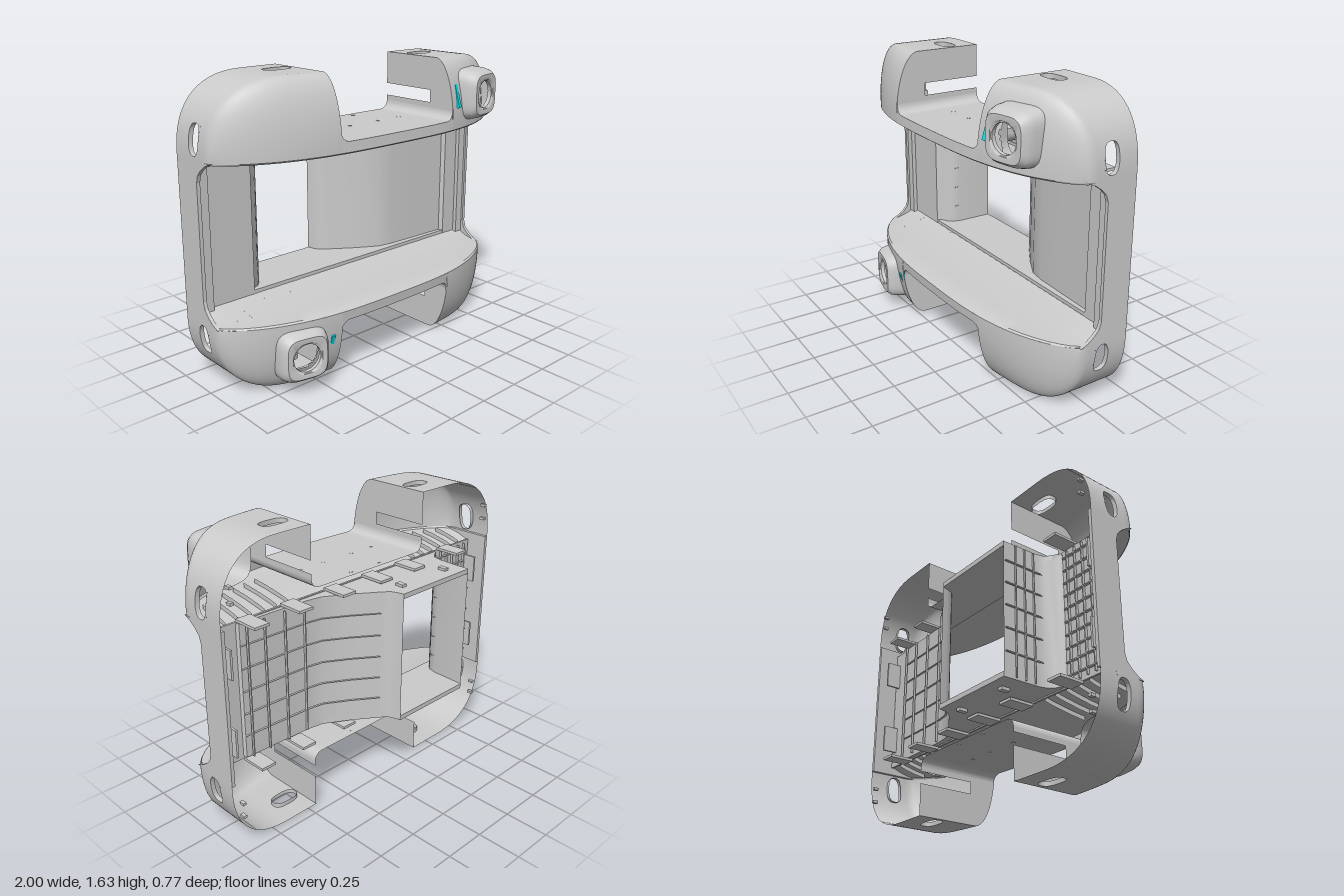
import * as THREE from 'three';
import { toCreasedNormals } from 'three/addons/utils/BufferGeometryUtils.js';

const H = 1.635, BACK = -0.19, LIP = 1.245;
const grey = new THREE.MeshStandardMaterial({ color: 0xcccccc, side: THREE.DoubleSide });
const cyan = new THREE.MeshStandardMaterial({ color: 0x00e5ee });

const lerp = THREE.MathUtils.lerp;
const range = (n, a = 0, b = 1) => Array.from({ length: n + 1 }, (_, i) => lerp(a, b, i / n));
const sorted = (list) => [...new Set(list)].sort((a, b) => a - b);
const keys = (list) => list.map((_, i) => i);

function add(parent, name, geometry, x = 0, y = 0, z = 0, material = grey) {
  const mesh = new THREE.Mesh(geometry, material);
  mesh.name = name;
  mesh.position.set(x, y, z);
  parent.add(mesh);
  return mesh;
}
const box = (parent, name, w, h, d, x, y, z, material) =>
  add(parent, name, new THREE.BoxGeometry(w, h, d), x, y, z, material);

// Grid surface through fn(u, v) -> [x, y, z]; skip(um, vm) leaves a cell open
function surface(us, vs, fn, skip = () => false) {
  const pos = [], index = [], n = vs.length;
  for (const u of us) for (const v of vs) pos.push(...fn(u, v));
  for (let i = 0; i < us.length - 1; i++) for (let j = 0; j < n - 1; j++) {
    if (skip((us[i] + us[i + 1]) / 2, (vs[j] + vs[j + 1]) / 2)) continue;
    const a = i * n + j, b = a + n;
    index.push(a, b, b + 1, a, b + 1, a + 1);
  }
  const g = new THREE.BufferGeometry();
  g.setAttribute('position', new THREE.Float32BufferAttribute(pos, 3));
  g.setIndex(index);
  return toCreasedNormals(g, 0.65);
}

const polygon = (pts) => new THREE.Shape(pts.map(([x, y]) => new THREE.Vector2(x, y)));
const extrude = (shape, depth) => new THREE.ExtrudeGeometry(shape, { depth, bevelEnabled: false });
const pw = (t, e) => Math.sign(t) * Math.pow(Math.abs(t), e);

// Depth of the front lip in plan
const lipZ = (x) => 0.1 + 0.26 * Math.pow(Math.max(0, 1 - Math.pow(Math.min(Math.abs(x) / 0.985, 1), 3)), 0.8);

// Corner pad skin: u runs along the outline from notch to side, v from back edge to lip
function padPoint(xi, u, v) {
  const xc = xi + 0.2, th = Math.max(0, 1 - (u - 0.4) / 0.6) * Math.PI / 2;
  const ox = u <= 0.4 ? lerp(xi, xc, u / 0.4) : xc + (1 - xc) * pw(Math.cos(th), 0.8);
  const oy = u <= 0.4 ? H : 1.24 + (H - 1.24) * pw(Math.sin(th), 0.8);
  const inset = 0.015 * (ox - xi) / (1 - xi);
  const zl = lipZ(ox - inset), zw = 0.045 + (zl - 0.1) * 0.62;
  if (v <= 0.3) return [ox, oy, lerp(BACK, 0.04, v / 0.3)];
  if (v <= 0.5) return [ox, oy, lerp(0.04, zw, (v - 0.3) / 0.2)];
  const s = (v - 0.5) * Math.PI, a = 1 - Math.cos(s);
  return [ox - inset * a, lerp(oy, LIP, a), lerp(zw, zl, Math.sin(s))];
}

// Raised square boss that tapers to a round opening: [half size, z, exponent]
function bossGeometry() {
  const rings = [[0.15, -0.19, 0.5], [0.143, -0.07, 0.5], [0.132, -0.025, 0.5], [0.113, 0, 0.5],
    [0.085, 0, 0.8], [0.083, -0.006, 1], [0.077, -0.008, 1], [0.077, -0.03, 1]];
  return surface(range(48, 0, Math.PI * 2), keys(rings), (t, i) => {
    const [r, z, e] = rings[i];
    return [r * pw(Math.cos(t), e), r * pw(Math.sin(t), e), z];
  });
}

function createPad(xi, hasBoss) {
  const pad = new THREE.Group();
  pad.name = 'cornerPad';
  // Oval openings in the top wall and side wall: [u, v, half u, half v, inward direction]
  const holes = [[0.21, 0.2, 0.17, 0.06, [0, -1]], [0.921, 0.2, 0.072, 0.06, [-1, 0]]];
  const us = sorted([...range(40), ...holes.flatMap(([u, , h]) => [u - h, u + h])]);
  const vs = sorted([...range(10, 0, 0.5), ...range(22, 0.5, 1), 0.14, 0.26]);
  const bx = xi + 0.25, by = 1.422;
  const point = (u, v) => padPoint(xi, u, v);
  add(pad, 'padSkin', surface(us, vs, point, (u, v) => {
    const [x, y] = point(u, v);
    return holes.some(([cu, cv, hu, hv]) => Math.abs(u - cu) < hu && Math.abs(v - cv) < hv) ||
      (hasBoss && v > 0.5 && Math.hypot(x - bx, y - by) < 0.11);
  }));
  for (const [cu, cv, hu, hv, dir] of holes) {
    add(pad, 'ovalOpening', surface(range(48, 0, Math.PI * 2), [0, 1, 2], (t, k) => {
      const c = Math.cos(t), s = Math.sin(t), m = Math.max(Math.abs(c), Math.abs(s));
      const du = k ? 0.95 * pw(c, 0.7) : c / m, dv = k ? 0.92 * pw(s, 0.7) : s / m;
      const p = point(cu + hu * du, cv + hv * dv), d = k === 2 ? 0.025 : 0;
      return [p[0] + dir[0] * d, p[1] + dir[1] * d, p[2]];
    }));
  }
  // Notch wall with a slot open to the back
  const section = range(40).map((v) => point(0, v)).filter((p) => p[1] > 1.35).map((p) => [p[2], p[1]]);
  const wall = polygon([[BACK, 1.35], [BACK, 1.38], [0.16, 1.38], [0.16, 1.45], [BACK, 1.45],
    ...section, [lipZ(xi) - 0.008, 1.35]]);
  add(pad, 'notchWall', new THREE.ShapeGeometry(wall).rotateY(-Math.PI / 2), xi);
  if (hasBoss) {
    add(pad, 'boss', bossGeometry(), bx, by, 0.362).rotation.y = 0.2;
    box(pad, 'lightStrip', 0.022, 0.135, 0.03, xi + 0.055, 1.425, 0.308, cyan).rotation.set(-0.3, 0.15, 0);
  }
  // Small locating pins on the back edge
  for (const y of [1.37, 1.45]) box(pad, 'pin', 0.02, 0.015, 0.03, 0.94, y, BACK);
  return pad;
}

// Upper half of the shell; the lower half is its mirror with the boss on the other side
function createHalf(bossLeft) {
  const half = new THREE.Group();
  half.name = 'shellHalf';
  const [xl, xr] = [0.44, 0.385];
  half.add(createPad(xl, bossLeft));
  const other = createPad(xr, !bossLeft);
  other.scale.x = -1;
  half.add(other);

  // Bridge between the pads, filleted into the notch walls
  const r = 0.05, stops = [];
  for (const a of range(6, 0, Math.PI / 2)) {
    const d = r * (1 - Math.cos(a)), y = 1.3 + r * (1 - Math.sin(a));
    stops.push([d - xr, y], [xl - d, y]);
  }
  for (const x of range(10, -0.3, 0.35)) stops.push([x, 1.3]);
  stops.sort((a, b) => a[0] - b[0]);
  add(half, 'bridge', surface(keys(stops), [0, 1, 2], (i, k) => {
    const [x, y] = stops[i], z = lipZ(x);
    return [x, k === 2 ? LIP : y, k === 0 ? BACK : k === 1 ? z - 0.08 * (y - LIP) : z];
  }));
  for (const [x, z] of [[-0.24, 0.06], [-0.08, 0.06], [0.13, 0.06], [0.29, 0.06], [-0.08, -0.15], [0.13, -0.15]])
    add(half, 'screwSeat', new THREE.CylinderGeometry(0.011, 0.011, 0.003, 16), x, 1.3, z);

  // Curved underside sweeping back to the recessed panel: [depth fraction, y]
  const under = [[1, LIP], [0.97, 1.236], [0.7, 1.232], [0.45, 1.222], [0.25, 1.21], [0.1, 1.2], [0, 1.19]];
  const underZ = (x, i) => lerp(-0.06, lipZ(x), under[i][0]);
  add(half, 'recessEdge', surface(range(60, -0.985, 0.985), keys(under), (x, i) => [x, under[i][1], underZ(x, i)]));

  // Stiffening ribs behind the recess edge, mounting tabs and clips
  for (const s of [1, -1]) for (const x of range(5, 0.48, 0.88))
    add(half, 'edgeRib', surface([2, 3, 4, 5, 6], [0, 0.025], (i, d) => [s * x, under[i][1] + d, underZ(x, i)]));
  for (const x of [-0.72, -0.35, -0.08, 0.2, 0.5, 0.78])
    box(half, 'mountingTab', 0.09, 0.015, 0.15, x, 1.212, -0.14);
  for (const x of [-0.45, -0.1]) box(half, 'pocketClip', 0.03, 0.02, 0.05, x, 1.205, -0.3);
  return half;
}

function createPanel() {
  const panel = new THREE.Group();
  panel.name = 'centrePanel';
  const y0 = 0.445, y1 = 1.19, mid = H / 2;
  const rect = (a, b, c, d) => [[a, b], [c, b], [c, d], [a, d]];
  const frame = polygon(rect(-0.97, 0.43, 0.97, 1.205));
  frame.holes.push(polygon(rect(-0.66, y0, 0.83, y1)));
  add(panel, 'panelFrame', extrude(frame, 0.012), 0, 0, -0.07);

  // Pocket sides in plan: [x, z]
  const left = [[-0.66, -0.06], [-0.645, -0.085], [-0.61, -0.1], [-0.58, -0.13], [-0.567, -0.18], [-0.562, -0.39]];
  const right = [[0.83, -0.06], [0.82, -0.085], [0.6, -0.092], [0.4, -0.1], [0.31, -0.115], [0.18, -0.19],
    [0.04, -0.285], [0, -0.315], [-0.015, -0.35], [-0.025, -0.39]];
  add(panel, 'pocketWall', surface(keys(left), [y0, y1], (i, y) => [left[i][0], y, left[i][1]]));
  add(panel, 'slopedPanel', surface(keys(right), [y0, y1], (i, y) => [right[i][0], y, right[i][1]]));
  const plan = polygon([...left, ...[...right].reverse()]);
  for (const y of [1.2, 0.465])
    add(panel, 'pocketShelf', extrude(plan, 0.028).rotateX(Math.PI / 2), 0, y);

  // Rib grid on the back of the panels
  for (const y of range(4, 0.57, 1.08)) {
    add(panel, 'crossRib', surface(keys(right).slice(1, 7), [0, 0.012],
      (i, d) => [right[i][0] + d * 0.4, y, right[i][1] - d]));
    box(panel, 'wallRib', 0.01, 0.006, 0.24, -0.574, y, -0.265);
  }
  for (const x of [0.42, 0.55, 0.68, 0.79]) box(panel, 'uprightRib', 0.006, y1 - y0, 0.014, x, mid, -0.108);
  for (const z of [-0.2, -0.26, -0.32]) box(panel, 'wallUpright', 0.01, y1 - y0, 0.006, -0.574, mid, z);
  for (const y of range(9, 0.48, 1.155)) box(panel, 'endRib', 0.26, 0.006, 0.016, -0.8, y, -0.077);
  for (const x of range(4, -0.92, -0.7)) box(panel, 'endUpright', 0.006, y1 - y0, 0.016, x, mid, -0.077);
  return panel;
}

function createSide(s) {
  const side = new THREE.Group();
  side.name = 'side';
  // Side wall that flares forward into the pads
  const edge = [[0.1, LIP], [0.06, 1.228], [0.02, 1.2], [-0.008, 1.17], [-0.02, 1.13]];
  const outline = [[BACK, LIP], ...edge, ...[...edge].reverse().map(([z, y]) => [z, H - y]), [BACK, H - LIP]];
  add(side, 'sideWall', extrude(polygon(outline), 0.02).rotateY(-Math.PI / 2), 1);
  box(side, 'sideLip', 0.05, 0.76, 0.025, 0.955, H / 2, -0.045);
  for (const y of [0.6, 1.04]) box(side, 'sideBracket', 0.012, 0.16, 0.09, 0.93, y, -0.115);
  side.scale.x = s;
  return side;
}

export function createModel() {
  const model = new THREE.Group();
  model.name = 'protectiveShell';
  const lower = createHalf(false);
  lower.scale.y = -1;
  lower.position.y = H;
  model.add(createHalf(true), lower, createPanel(), createSide(1), createSide(-1));
  return model;
}
